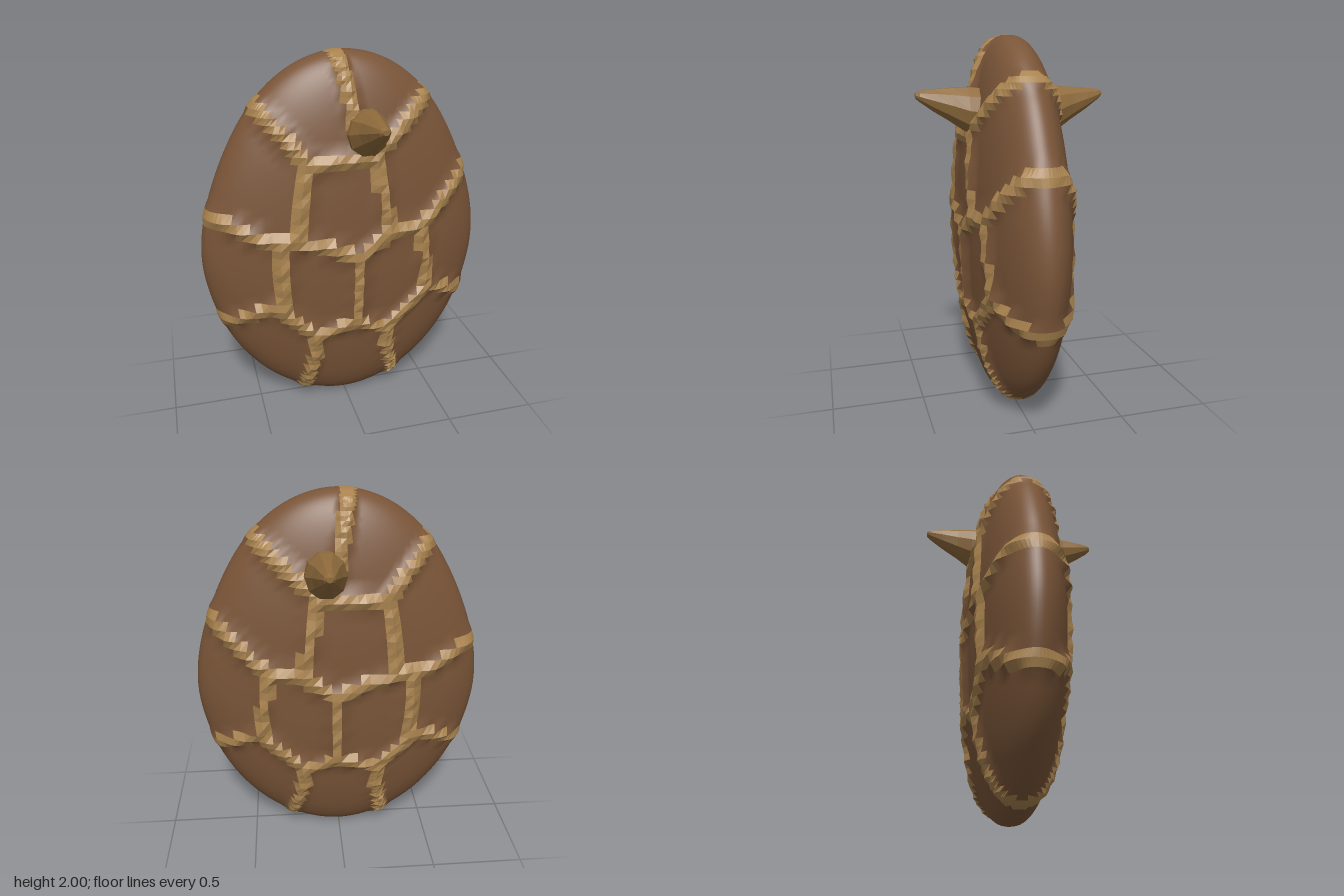
import * as THREE from 'three';

const COLS = 96, ROWS = 68;

// Centre lines of the raised veins, drawn on the x-y plane and wrapping both faces
const VEINS = [
  [[-0.05, 2.02], [-0.01, 1.8], [0.03, 1.62], [0.1, 1.5]],
  [[-0.52, 1.82], [-0.36, 1.64], [-0.22, 1.48], [0.1, 1.5], [0.2, 1.58], [0.47, 1.82]],
  [[-0.24, 1.48], [-0.29, 1.08]],
  [[0.12, 1.5], [0.2, 1.09]],
  [[-0.82, 1.22], [-0.62, 1.17], [-0.46, 1.09], [-0.29, 1.07], [-0.13, 1.04], [0, 0.97],
    [0.08, 1.0], [0.2, 1.09], [0.38, 1.1], [0.74, 1.44]],
  [[-0.37, 1.07], [-0.37, 0.68]],
  [[0.025, 0.97], [0.03, 0.57]],
  [[0.38, 1.08], [0.44, 0.72]],
  [[-0.78, 0.55], [-0.42, 0.7], [-0.2, 0.5], [0.02, 0.56], [0.2, 0.5], [0.44, 0.72], [0.78, 0.58]],
  [[-0.2, 0.5], [-0.21, 0.32], [-0.26, 0.02]],
  [[0.2, 0.5], [0.22, 0.32], [0.31, 0.02]],
];

function veinDistance(x, y) {
  let best = 9;
  for (const line of VEINS) {
    for (let i = 0; i + 1 < line.length; i++) {
      const [ax, ay] = line[i], [bx, by] = line[i + 1];
      const dx = bx - ax, dy = by - ay;
      const t = THREE.MathUtils.clamp(((x - ax) * dx + (y - ay) * dy) / (dx * dx + dy * dy), 0, 1);
      best = Math.min(best, Math.hypot(x - ax - t * dx, y - ay - t * dy));
    }
  }
  return best;
}

// Flattened egg: row runs bottom to top, col runs around
function eggPoint(row, col) {
  const a = (row / ROWS) * Math.PI, b = (col / COLS) * Math.PI * 2;
  const y = 1 - Math.cos(a), s = Math.max(0, Math.sin(a));
  const w = 0.775 * s * (1 - 0.08 * THREE.MathUtils.smoothstep(y, 0.85, 1.65));
  const d = 0.25 * Math.pow(s, 0.8);
  return new THREE.Vector3(w * Math.sin(b), y, d * Math.cos(b));
}

// Egg surface pushed outward along the veins
function shellPoint(row, col) {
  const p = eggPoint(row, col);
  const lift = 1 - THREE.MathUtils.smoothstep(veinDistance(p.x, p.y), 0.018, 0.055);
  const n = new THREE.Vector3(p.x / 0.6, (p.y - 1), p.z / 0.0625).normalize();
  const h = lift * (0.03 + 0.006 * Math.sin(row * 2.3 + Math.abs(p.x) * 40));
  const fade = Math.min(1, Math.sin((row / ROWS) * Math.PI) * 4);
  return p.add(new THREE.Vector3(n.x * h * 0.3, n.y * h * 0.1, n.z * h * fade));
}

function buildShell() {
  const points = [], plates = [], veins = [];
  for (let r = 0; r <= ROWS; r++) {
    for (let c = 0; c < COLS; c++) points.push(shellPoint(r, c));
  }
  for (let r = 0; r < ROWS; r++) {
    for (let c = 0; c < COLS; c++) {
      const c2 = (c + 1) % COLS;
      const i = r * COLS + c, j = r * COLS + c2, k = i + COLS, l = j + COLS;
      const m = eggPoint(r + 0.5, c + 0.5);
      const target = veinDistance(m.x, m.y) < 0.039 ? veins : plates;
      if (r > 0) target.push(i, j, l);
      if (r < ROWS - 1) target.push(i, l, k);
    }
  }
  const make = (index) => {
    const g = new THREE.BufferGeometry().setFromPoints(points);
    g.setIndex(index);
    g.computeVertexNormals();
    return g;
  };
  return { plates: make(plates), veins: make(veins) };
}

// Blunt horn lofted from oval sections: z, centre y, half width, half height
function buildHorn() {
  const sections = [
    [0.16, 1.615, 0.11, 0.125], [0.24, 1.625, 0.105, 0.12], [0.32, 1.65, 0.075, 0.09],
    [0.41, 1.675, 0.052, 0.058], [0.48, 1.695, 0.03, 0.028], [0.5, 1.7, 0.016, 0.014],
  ];
  const sides = 10, points = [], index = [];
  for (const [z, cy, rx, ry] of sections) {
    for (let s = 0; s < sides; s++) {
      const a = (s / sides) * Math.PI * 2;
      points.push(new THREE.Vector3(0.075 + rx * Math.cos(a), cy + ry * Math.sin(a), z));
    }
  }
  for (let r = 0; r + 1 < sections.length; r++) {
    for (let s = 0; s < sides; s++) {
      const i = r * sides + s, j = r * sides + (s + 1) % sides;
      index.push(i, j, j + sides, i, j + sides, i + sides);
    }
  }
  const last = (sections.length - 1) * sides;
  for (let s = 1; s + 1 < sides; s++) {
    index.push(last, last + s, last + s + 1); // tip
    index.push(0, s + 1, s); // base
  }
  const g = new THREE.BufferGeometry().setFromPoints(points);
  g.setIndex(index);
  g.computeVertexNormals();
  return g;
}

// Same horn facing backward, with corner order restored
function mirrorZ(geometry) {
  const g = geometry.clone().scale(1, 1, -1);
  const a = g.index.array;
  for (let i = 0; i < a.length; i += 3) [a[i], a[i + 1]] = [a[i + 1], a[i]];
  g.computeVertexNormals();
  return g;
}

export function createModel() {
  const group = new THREE.Group();
  const brown = new THREE.MeshStandardMaterial({ color: 0x7a5538 });
  const tan = new THREE.MeshStandardMaterial({ color: 0xa9834f, flatShading: true });
  const hornTan = new THREE.MeshStandardMaterial({ color: 0x8f6b3c, flatShading: true });
  const add = (name, geometry, material) => {
    const mesh = new THREE.Mesh(geometry, material);
    mesh.name = name;
    group.add(mesh);
  };

  const shell = buildShell();
  add('shellPlates', shell.plates, brown);
  add('shellVeins', shell.veins, tan);

  const horn = buildHorn();
  add('frontHorn', horn, hornTan);
  add('backHorn', mirrorZ(horn), hornTan);
  return group;
}
